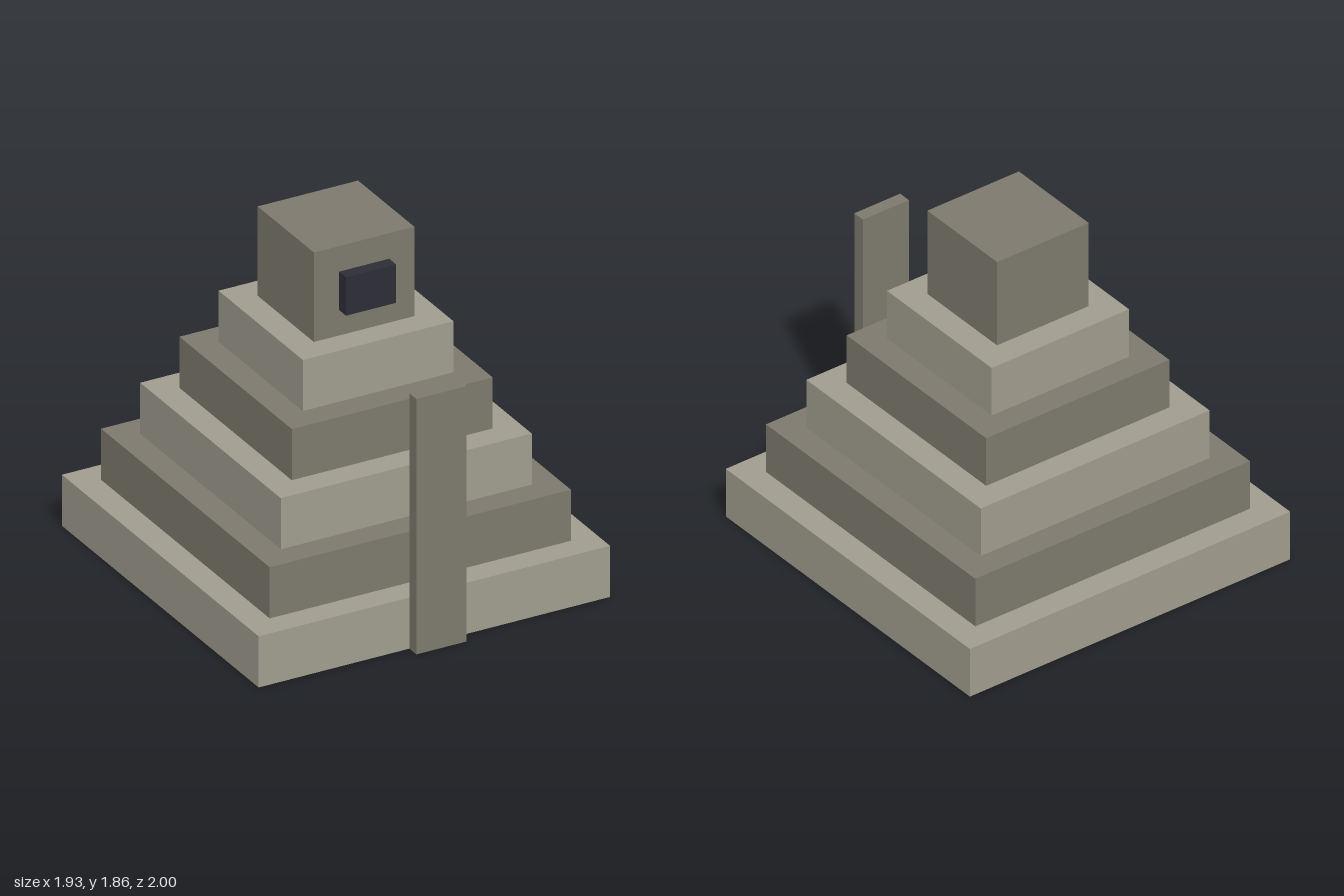
import * as THREE from 'three';

const U = 2 / 29; // building unit: total depth is 29 units
const AXIS_Z = -0.5; // pyramid axis, in units

const paleStone = new THREE.MeshStandardMaterial({ name: 'paleStone', color: 0xa09c8e });
const darkStone = new THREE.MeshStandardMaterial({ name: 'darkStone', color: 0x7d796d });
const doorway = new THREE.MeshStandardMaterial({ name: 'doorway', color: 0x2d2d36 });

// Box measured in units, standing at height y, centred on x = 0
function block(name, w, h, d, y, z, material) {
  const mesh = new THREE.Mesh(new THREE.BoxGeometry(w * U, h * U, d * U), material);
  mesh.position.set(0, (y + h / 2) * U, z * U);
  mesh.name = name;
  return mesh;
}

export function createModel() {
  const model = new THREE.Group();
  model.name = 'steppedPyramid';

  // Five shrinking terraces in alternating stone
  for (let i = 0; i < 5; i++) {
    const width = 28 - 4 * i;
    model.add(block(`terrace${i + 1}`, width, 4, width, 4 * i, AXIS_Z, i % 2 ? darkStone : paleStone));
  }

  // Shrine on the summit with its projecting door
  model.add(block('shrine', 8, 7, 8, 20, AXIS_Z, darkStone));
  model.add(block('shrineDoor', 4, 3, 1, 22, 4, doorway));

  // Upright stair slab against the front of the base
  model.add(block('stairSlab', 4, 20, 1, 0, 14, darkStone));

  return model;
}
